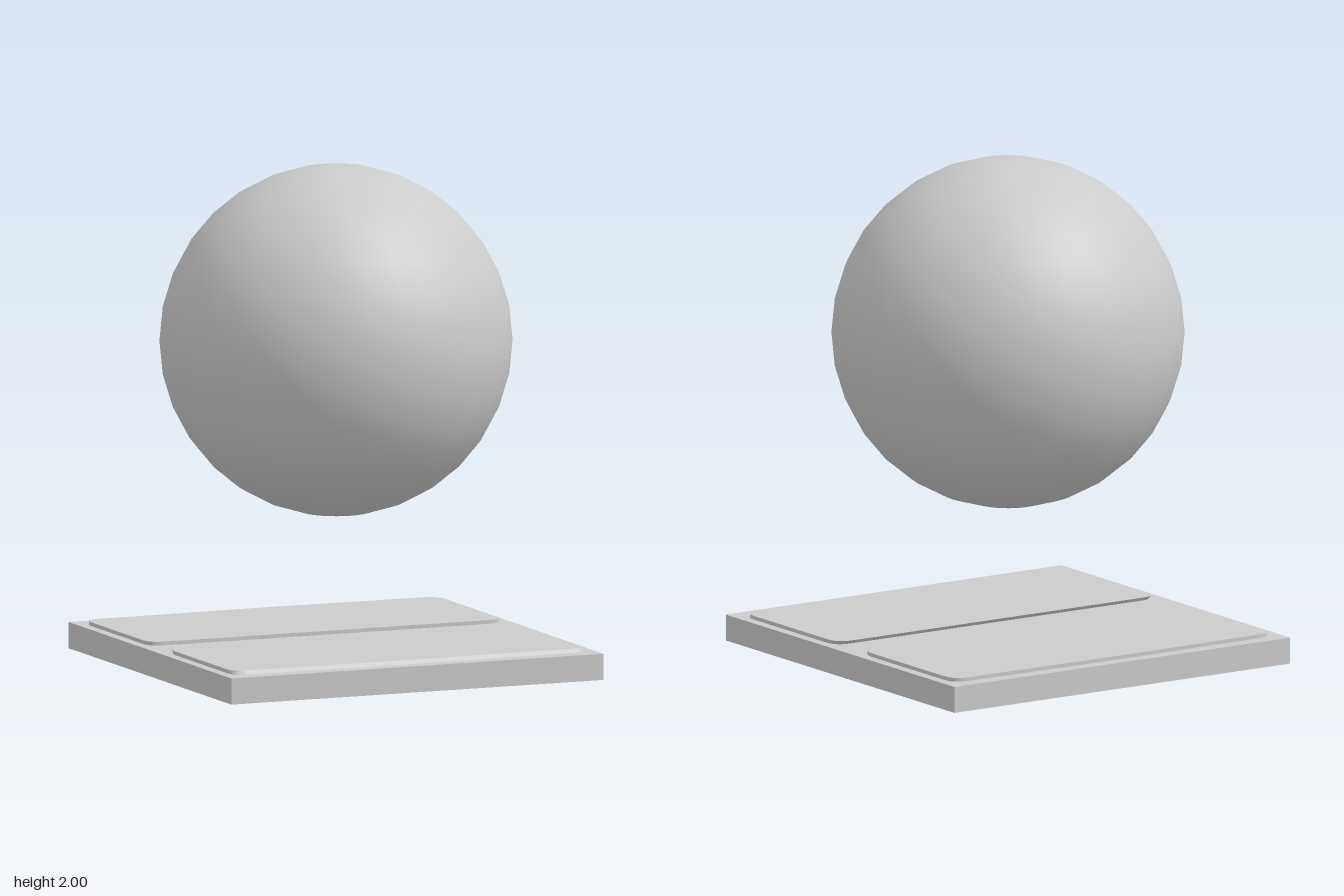
import * as THREE from 'three';

const material = new THREE.MeshStandardMaterial({ color: 0xcccccc });

function addPart(group, name, geometry, x = 0, y = 0, z = 0) {
  const mesh = new THREE.Mesh(geometry, material);
  mesh.name = name;
  mesh.position.set(x, y, z);
  group.add(mesh);
}

// Thin rounded panel behind the centre line, its outer edge bowed slightly outwards
function panelGeometry(lean = 0) {
  const w = 0.765, inner = 0.093, outer = 0.743, r = 0.07, thickness = 0.02;
  const s = new THREE.Shape();
  s.moveTo(-w + r, inner);
  s.lineTo(w - r, inner);
  s.quadraticCurveTo(w, inner, w, inner + r);
  s.lineTo(w, outer - r);
  s.quadraticCurveTo(w, outer, w - r, outer);
  s.lineTo(0.4, outer + 0.004);
  s.lineTo(0, outer + 0.01);
  s.lineTo(-0.4, outer + 0.004);
  s.lineTo(-w + r, outer);
  s.quadraticCurveTo(-w, outer, -w, outer - r);
  s.lineTo(-w, inner + r);
  s.quadraticCurveTo(-w, inner, -w + r, inner);
  const g = new THREE.ExtrudeGeometry(s, { depth: thickness, bevelEnabled: false, curveSegments: 6 });
  g.rotateX(-Math.PI / 2);
  // Lean the side walls by shifting the top face along z
  g.applyMatrix4(new THREE.Matrix4().set(1, 0, 0, 0, 0, 1, 0, 0, 0, lean / thickness, 1, 0, 0, 0, 0, 1));
  g.computeVertexNormals();
  return g;
}

export function createModel() {
  const group = new THREE.Group();
  group.name = 'floatingBallOnBase';

  // Square slab
  addPart(group, 'base', new THREE.BoxGeometry(1.61, 0.105, 1.61), 0, 0.0525, 0);

  // Two raised panels, the front one turned around and leaning back
  addPart(group, 'backPanel', panelGeometry(), 0, 0.1, 0);
  addPart(group, 'frontPanel', panelGeometry(0.018).rotateY(Math.PI), 0, 0.1, 0);

  // Hovering ball
  addPart(group, 'ball', new THREE.SphereGeometry(0.7, 32, 16), 0, 1.3, 0);

  return group;
}
